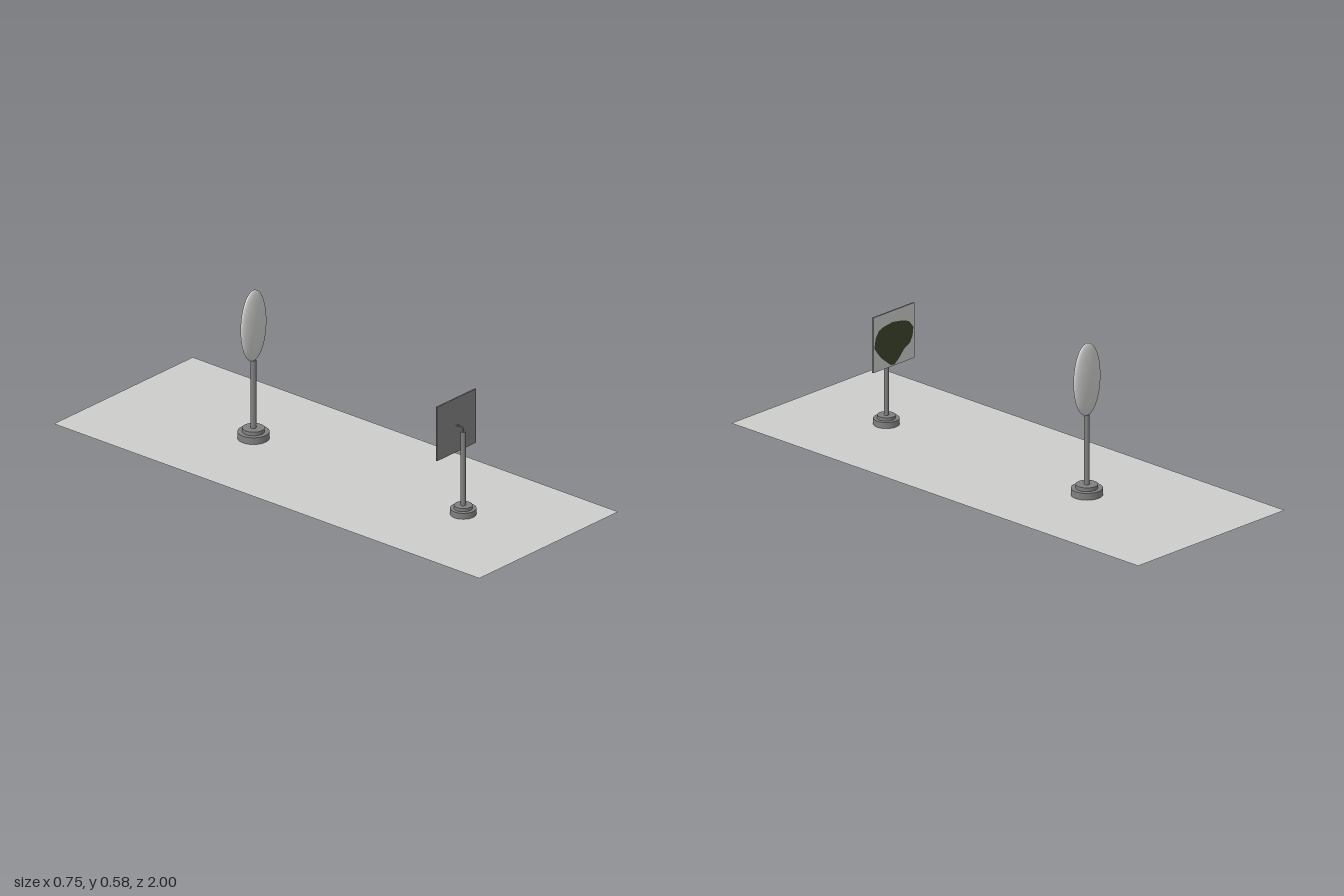
import * as THREE from 'three';

const mat = (name, color, side = THREE.FrontSide) => {
  const m = new THREE.MeshStandardMaterial({ color, side });
  m.name = name;
  return m;
};

export function createModel() {
  const lightGrey = mat('light grey', 0xcccccb, THREE.DoubleSide);
  const darkGrey = mat('dark grey', 0x808080);
  const darkGreen = mat('dark green', 0x3c442a, THREE.DoubleSide);

  const model = new THREE.Group();
  model.name = 'opticsBench';

  const add = (parent, name, geometry, material, x = 0, y = 0, z = 0) => {
    const mesh = new THREE.Mesh(geometry, material);
    mesh.name = name;
    mesh.position.set(x, y, z);
    parent.add(mesh);
    return mesh;
  };

  // Upright cylinder spanning y0..y1
  const column = (parent, name, r, y0, y1) =>
    add(parent, name, new THREE.CylinderGeometry(r, r, y1 - y0, 32), darkGrey, 0, (y0 + y1) / 2, 0);

  // Stand: two-step foot and a pole
  const stand = (name, z, y0, foot, step, pole) => {
    const g = new THREE.Group();
    g.name = name;
    g.position.z = z;
    column(g, 'foot', foot.r, y0, foot.top);
    column(g, 'footStep', step.r, foot.top, step.top);
    column(g, 'pole', pole.r, step.top, pole.top);
    model.add(g);
    return g;
  };

  // Thin table surface
  const table = add(model, 'tableTop', new THREE.PlaneGeometry(0.75, 2), lightGrey, 0, 0.001, 0);
  table.rotation.x = -Math.PI / 2;

  // Lens on its stand
  const lensStand = stand('lensStand', -0.388, 0,
    { r: 0.057, top: 0.027 }, { r: 0.04, top: 0.041 }, { r: 0.01, top: 0.305 });
  const lens = add(lensStand, 'lens', new THREE.SphereGeometry(1, 48, 32), lightGrey, 0, 0.439, 0);
  lens.scale.set(0.066, 0.138, 0.02);

  // Screen on its stand
  const screenStand = stand('screenStand', 0.598, 0.002,
    { r: 0.047, top: 0.025 }, { r: 0.033, top: 0.037 }, { r: 0.009, top: 0.322 });

  // Bent arm from the pole to the screen
  const arm = new THREE.CatmullRomCurve3([
    [0.318, 0], [0.331, 0], [0.338, -0.004], [0.339, -0.013], [0.339, -0.034],
  ].map(([y, z]) => new THREE.Vector3(0, y, z)));
  add(screenStand, 'screenArm', new THREE.TubeGeometry(arm, 24, 0.0028, 10), darkGrey);

  // Screen board, light on the side facing the lens
  const size = 0.21;
  const screen = new THREE.Group();
  screen.name = 'screen';
  screen.position.set(0, 0.339, -0.034);
  screenStand.add(screen);
  add(screen, 'screenBoard', new THREE.BoxGeometry(size, size, 0.006),
    [darkGrey, darkGrey, darkGrey, darkGrey, darkGrey, lightGrey]);

  // Projected patch: an outline in fractions of the board, across and down
  const outline = [
    [0.02, 0.56], [0.05, 0.39], [0.13, 0.27], [0.24, 0.23], [0.46, 0.2], [0.65, 0.23],
    [0.86, 0.29], [0.97, 0.43], [0.95, 0.58], [0.89, 0.69], [0.74, 0.77], [0.62, 0.9],
    [0.51, 0.98], [0.42, 0.97], [0.31, 0.88], [0.2, 0.79], [0.12, 0.7],
  ];
  const patch = new THREE.Shape(outline.map(([u, v]) =>
    new THREE.Vector2((u - 0.5) * size, (0.5 - v) * size)));
  const image = add(screen, 'projectedPatch', new THREE.ShapeGeometry(patch), darkGreen, 0, 0, -0.004);
  image.rotation.y = Math.PI;

  return model;
}
